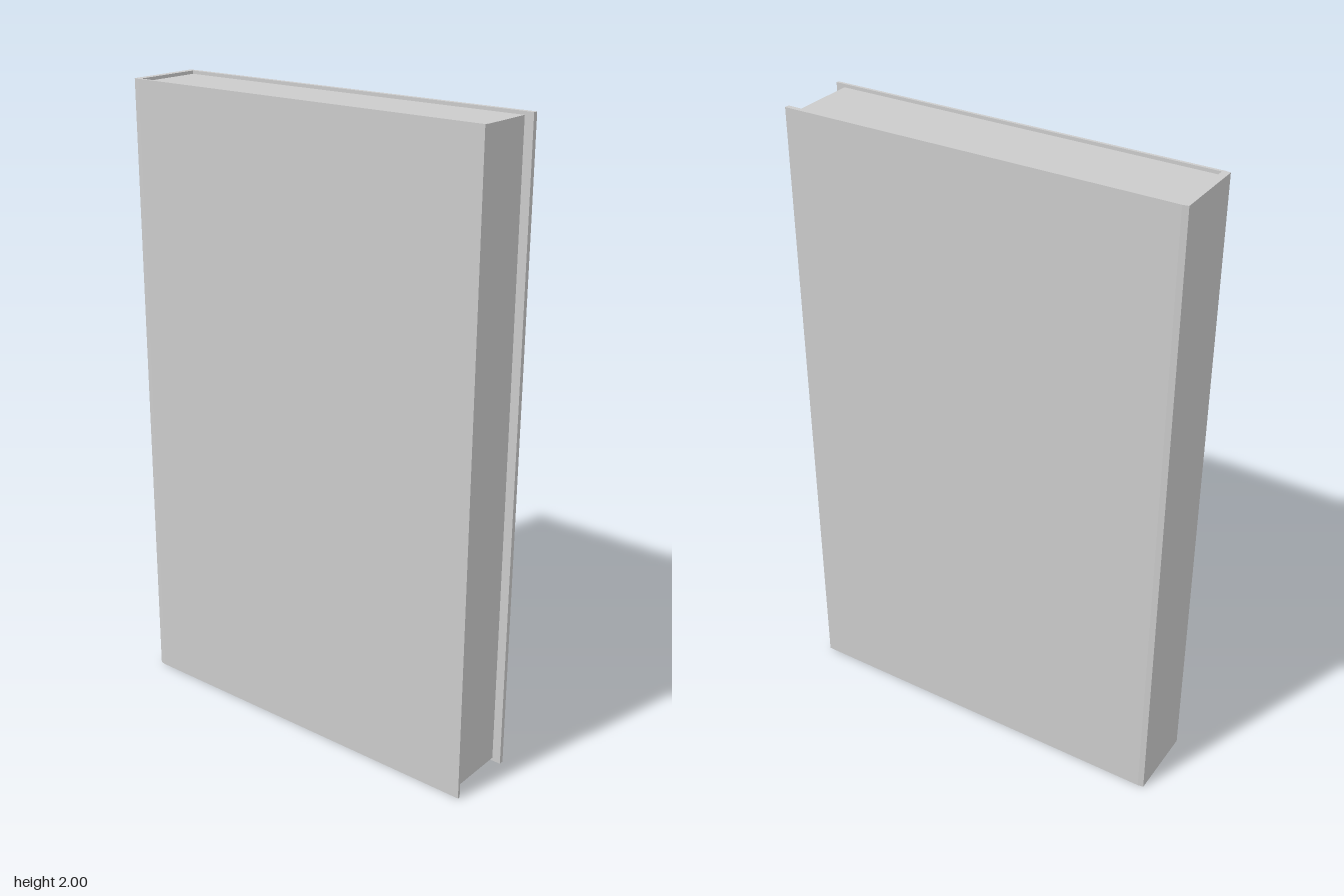
import * as THREE from 'three';

const HEIGHT = 2;

// Extrude a flat (x, z) outline upward from y0 to y1
function slab(name, points, y0, y1, material) {
  const shape = new THREE.Shape(points.map(([x, z]) => new THREE.Vector2(x, z)));
  const geometry = new THREE.ExtrudeGeometry(shape, { depth: y1 - y0, bevelEnabled: false });
  geometry.rotateX(Math.PI / 2).translate(0, y1, 0);
  const mesh = new THREE.Mesh(geometry, material);
  mesh.name = name;
  return mesh;
}

export function createModel() {
  const material = new THREE.MeshStandardMaterial({ color: 0xcccccc, flatShading: true });
  const book = new THREE.Group();
  book.name = 'book';

  // Hard cover: two boards joined by a spine with slightly bevelled corners
  const left = -0.123, right = 0.122, back = -0.624, front = 0.622;
  const innerLeft = -0.114, innerRight = 0.107, innerBack = -0.602;
  book.add(slab('cover', [
    [left, front], [left, back + 0.018], [left + 0.003, back],
    [right - 0.003, back], [right, back + 0.018], [right, front],
    [innerRight, front], [innerRight, innerBack],
    [innerLeft, innerBack], [innerLeft, front],
  ], 0, HEIGHT, material));

  // Page block, set in from the cover's top, bottom and fore edge
  const pageFront = 0.594;
  book.add(slab('pages', [
    [innerLeft, pageFront], [innerLeft, innerBack],
    [innerRight, innerBack], [innerRight, pageFront],
  ], 0.01, HEIGHT - 0.01, material));

  // The book stands turned about its vertical axis
  book.rotation.y = THREE.MathUtils.degToRad(16.6);

  const model = new THREE.Group();
  model.add(book);
  return model;
}
